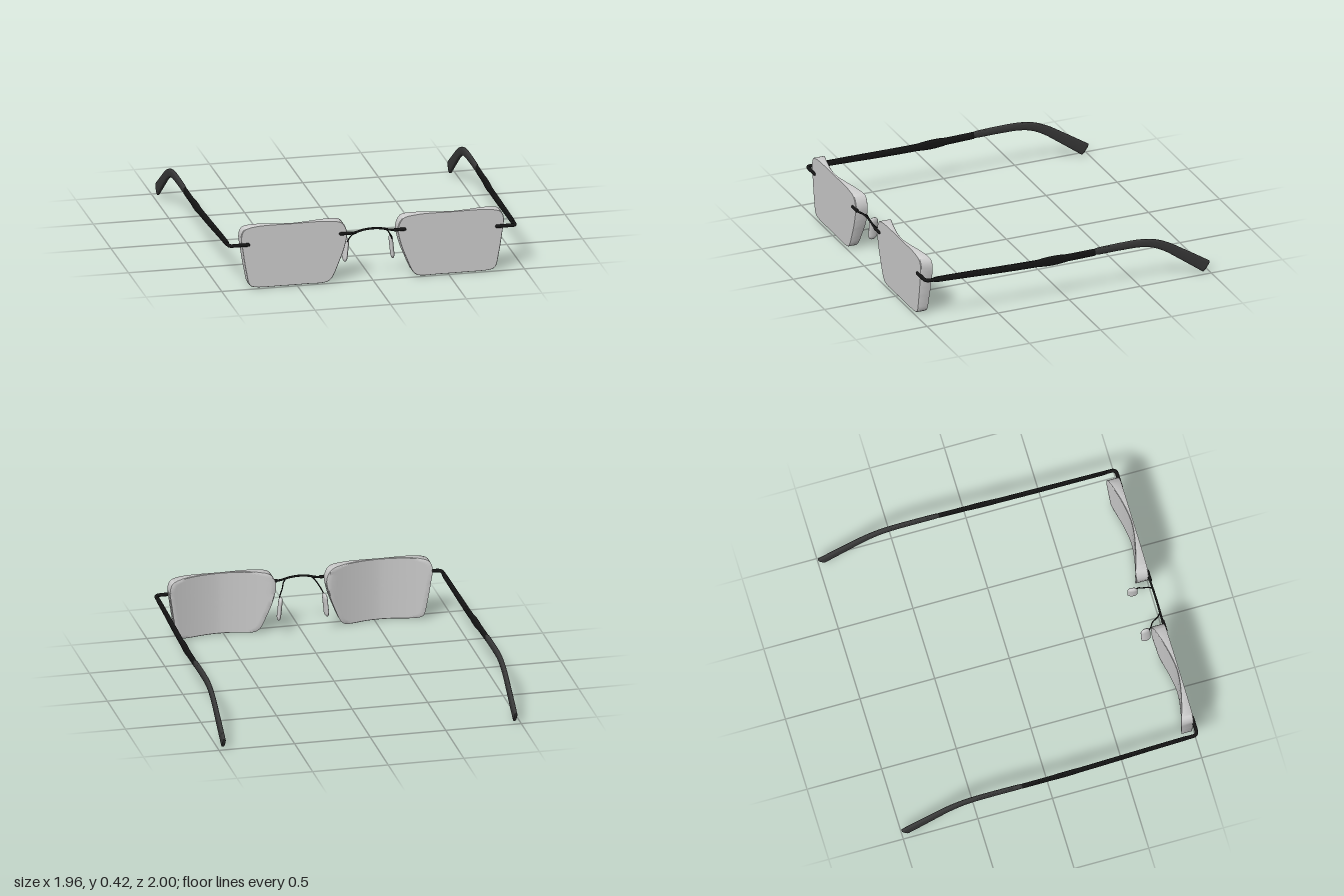
import * as THREE from 'three';
import { toCreasedNormals } from 'three/addons/utils/BufferGeometryUtils.js';

const V = (x, y, z) => new THREE.Vector3(x, y, z);
const grey = new THREE.MeshStandardMaterial({ color: 0xcccccc });
const black = new THREE.MeshStandardMaterial({ color: 0x151515 });
const dark = new THREE.MeshStandardMaterial({ color: 0x383838 });

// Skins a list of closed rings, each with the same number of points
function skin(rings, crease = 0.7) {
  const n = rings[0].length, index = [];
  for (let i = 0; i < rings.length - 1; i++) {
    for (let j = 0; j < n; j++) {
      const k = (j + 1) % n;
      const a = i * n + j, b = i * n + k, c = a + n, d = b + n;
      index.push(a, c, b, b, c, d);
    }
  }
  const g = new THREE.BufferGeometry().setFromPoints(rings.flat());
  g.setIndex(index);
  return toCreasedNormals(g, crease);
}

// Mirrors a geometry in x, keeping its faces outward
function mirrored(geometry) {
  const g = geometry.index ? geometry.toNonIndexed() : geometry.clone();
  for (const name of ['position', 'normal']) {
    const a = g.attributes[name], p = V(), q = V();
    for (let i = 0; i < a.count; i++) a.setX(i, -a.getX(i));
    for (let i = 0; i < a.count; i += 3) {
      p.fromBufferAttribute(a, i + 1);
      q.fromBufferAttribute(a, i + 2);
      a.setXYZ(i + 1, q.x, q.y, q.z);
      a.setXYZ(i + 2, p.x, p.y, p.z);
    }
  }
  return g;
}

// Lens: flat front, back hollowed along x so the sides are thick
function lensGeometry() {
  const outline = [
    [0.868, 0.36], [0.85, 0.405], [0.79, 0.425], [0.53, 0.43], [0.28, 0.427], [0.2, 0.408],
    [0.168, 0.345], [0.182, 0.25], [0.225, 0.13], [0.268, 0.038], [0.3, 0.014], [0.45, 0.01],
    [0.6, 0.01], [0.78, 0.015], [0.812, 0.03], [0.835, 0.12], [0.856, 0.25],
  ].map(([x, y]) => V(x, y, 0));
  const loop = new THREE.CatmullRomCurve3(outline, true).getSpacedPoints(96).slice(0, 96);
  const front = () => 0.985;
  const back = x => 0.972 - 0.072 * Math.min(1, Math.abs(x - 0.53) / 0.335) ** 1.6;
  const ring = (s, depth) => loop.map(p => {
    const x = 0.53 + (p.x - 0.53) * s, y = 0.22 + (p.y - 0.22) * s;
    return V(x, y, depth(x));
  });
  const rings = [ring(0, front), ring(0.99, front), ring(1, x => front(x) - 0.004)];
  rings.push(ring(1, x => back(x) + 0.003));
  for (let s = 10; s >= 0; s--) rings.push(ring(s === 10 ? 0.985 : s / 10, back));
  return skin(rings);
}

// Bar running backwards; stations are [x, y, z, half width, half height]
function barGeometry(stations, steps) {
  const path = new THREE.CatmullRomCurve3(stations.map(s => V(s[0], s[1], s[2])));
  const size = new THREE.CatmullRomCurve3(stations.map(s => V(s[3], s[4], 0)));
  const rings = [];
  const addRing = (t, scale) => {
    const c = path.getPoint(t), tan = path.getTangent(t), h = size.getPoint(t);
    const up = V(0, -tan.z, tan.y).normalize();
    const ring = [];
    for (let j = 0; j < 20; j++) {
      const a = j / 20 * Math.PI * 2, co = Math.cos(a), si = Math.sin(a);
      const u = Math.sign(co) * Math.abs(co) ** 0.6 * h.x * scale;
      const v = Math.sign(si) * Math.abs(si) ** 0.6 * h.y * scale;
      ring.push(V(c.x + u, c.y, c.z).addScaledVector(up, v));
    }
    rings.push(ring);
  };
  addRing(0, 0);
  addRing(0, 0.85);
  for (let i = 1; i < steps; i++) addRing(i / steps, 1);
  addRing((steps - 0.3) / steps, 1);
  addRing(1, 0.8);
  addRing(1, 0);
  return skin(rings, 0.9);
}

const tube = (points, radius, steps = 32) =>
  new THREE.TubeGeometry(new THREE.CatmullRomCurve3(points), steps, radius, 10);

// Small rod with rounded ends, lying along x
const rod = (x0, x1, y, z, r) =>
  new THREE.CapsuleGeometry(r, x1 - x0 - 2 * r, 6, 12)
    .rotateZ(Math.PI / 2).translate((x0 + x1) / 2, y, z);

export function createModel() {
  const model = new THREE.Group();
  model.name = 'eyeglasses';
  const add = (name, geometry, material) => {
    const mesh = new THREE.Mesh(geometry, material);
    mesh.name = name;
    model.add(mesh);
  };
  const addPair = (name, geometry, material) => {
    add('left' + name, geometry, material);
    add('right' + name, mirrored(geometry), material);
  };

  addPair('Lens', lensGeometry(), grey);

  // Bridge arch and the rods fixing it to the lenses
  add('bridge', tube([
    V(-0.17, 0.335, 0.985), V(-0.12, 0.337, 0.985), V(-0.06, 0.351, 0.985), V(0, 0.356, 0.985),
    V(0.06, 0.351, 0.985), V(0.12, 0.337, 0.985), V(0.17, 0.335, 0.985),
  ], 0.007, 48), black);
  addPair('BridgeMount', rod(0.135, 0.222, 0.335, 0.987, 0.011), black);

  // Nose pads on thin wire arms
  addPair('PadArm', tube([
    V(0.085, 0.345, 0.984), V(0.105, 0.325, 0.965), V(0.122, 0.3, 0.925),
    V(0.142, 0.262, 0.905), V(0.148, 0.23, 0.885),
  ], 0.004), black);
  addPair('NosePad', new THREE.CapsuleGeometry(0.033, 0.095, 10, 24)
    .scale(0.42, 1, 1).rotateZ(0.1).rotateY(-0.15).translate(0.152, 0.186, 0.87), grey);

  // End piece: rod on the lens, turning back into the temple
  addPair('EndMount', rod(0.81, 0.9, 0.307, 0.987, 0.012), black);
  addPair('EndPiece', tube([
    V(0.86, 0.307, 0.987), V(0.91, 0.307, 0.987), V(0.933, 0.306, 0.983),
    V(0.944, 0.305, 0.97), V(0.946, 0.304, 0.94), V(0.947, 0.303, 0.9),
  ], 0.012), black);

  // Temple arm and its curved ear tip
  addPair('Temple', barGeometry([
    [0.945, 0.303, 0.93, 0.011, 0.018], [0.949, 0.298, 0.7, 0.011, 0.021],
    [0.954, 0.291, 0.45, 0.012, 0.023], [0.959, 0.287, 0.2, 0.012, 0.024],
    [0.963, 0.29, 0, 0.012, 0.024], [0.965, 0.294, -0.2, 0.012, 0.023],
  ], 40), black);
  addPair('EarTip', barGeometry([
    [0.965, 0.297, -0.195, 0.013, 0.023], [0.965, 0.3, -0.38, 0.013, 0.025],
    [0.965, 0.296, -0.52, 0.013, 0.026], [0.965, 0.278, -0.61, 0.013, 0.028],
    [0.965, 0.237, -0.7, 0.013, 0.031], [0.965, 0.171, -0.8, 0.013, 0.035],
    [0.965, 0.102, -0.9, 0.013, 0.039], [0.965, 0.045, -0.982, 0.012, 0.042],
  ], 48), dark);

  return model;
}
